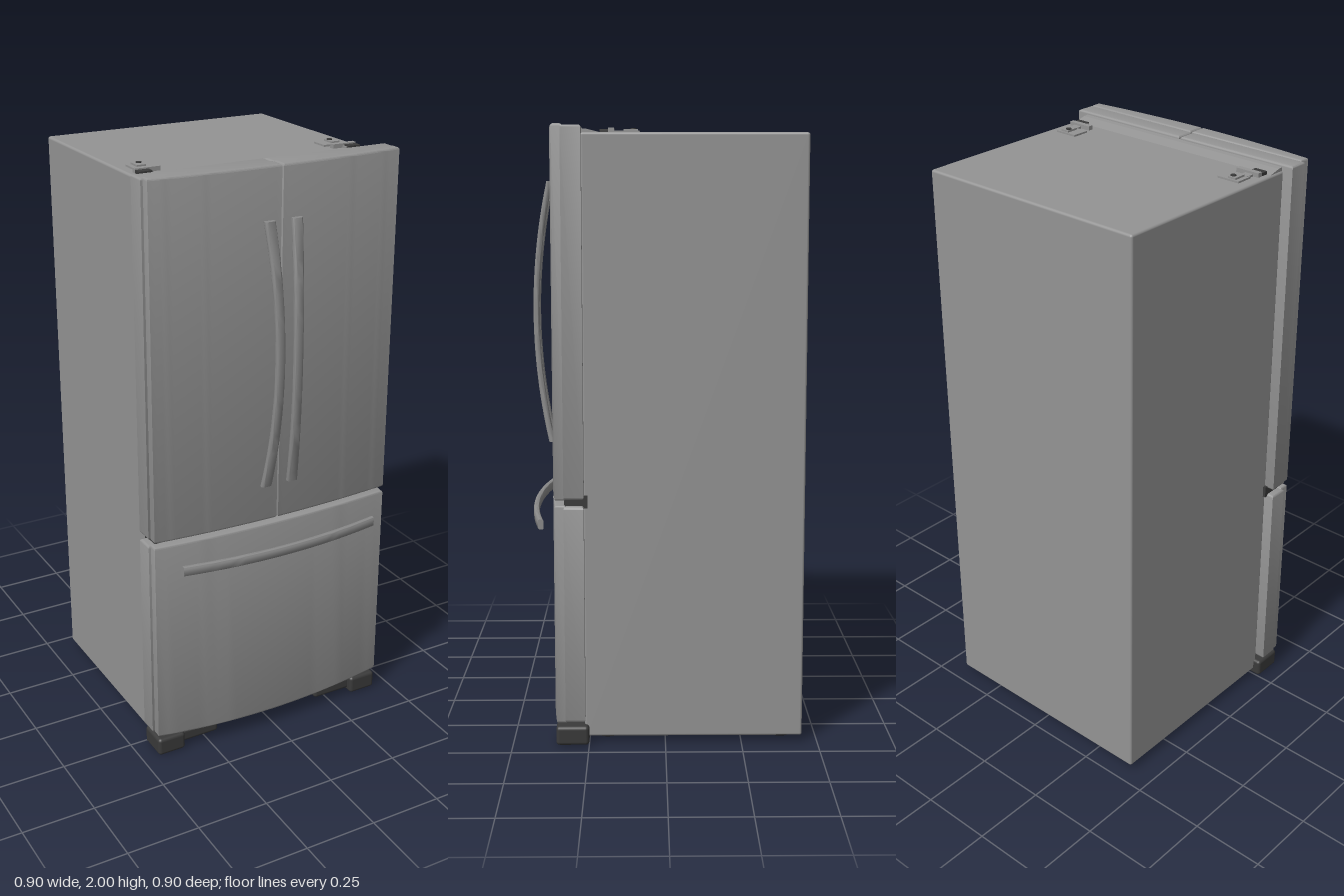
import * as THREE from 'three';
import { toCreasedNormals } from 'three/addons/utils/BufferGeometryUtils.js';
import { RoundedBoxGeometry } from 'three/addons/geometries/RoundedBoxGeometry.js';

const steel = new THREE.MeshStandardMaterial({ color: 0x949494 });
steel.name = 'steelGrey';
const handleGrey = new THREE.MeshStandardMaterial({ color: 0x8a8a8a });
handleGrey.name = 'handleGrey';
const dark = new THREE.MeshStandardMaterial({ color: 0x3a3a3a });
dark.name = 'darkPlastic';
const black = new THREE.MeshStandardMaterial({ color: 0x151515 });
black.name = 'blackRubber';

const bow = x => 0.379 - 0.024 * (x / 0.44) ** 2; // curved front of the doors

export function createModel() {
  const model = new THREE.Group();
  model.name = 'refrigerator';

  const add = (name, geometry, material, parent = model) => {
    const mesh = new THREE.Mesh(geometry, material);
    mesh.name = name;
    parent.add(mesh);
    return mesh;
  };
  // box given by its minimum and maximum corners
  const box = (name, a, b, r, material, parent) => {
    const s = b.map((v, i) => v - a[i]);
    const g = r ? new RoundedBoxGeometry(...s, 3, r) : new THREE.BoxGeometry(...s);
    g.translate(...a.map((v, i) => (v + b[i]) / 2));
    return add(name, g, material, parent);
  };
  // plan outline (x, z) raised from y0 to y1 with rounded edges
  const slab = (points, y0, y1, bevel) => {
    const shape = new THREE.Shape(points.map(([x, z]) => new THREE.Vector2(x, -z)));
    const g = new THREE.ExtrudeGeometry(shape, {
      depth: y1 - y0 - 2 * bevel, bevelEnabled: true, bevelSize: bevel,
      bevelThickness: bevel, bevelOffset: -bevel, bevelSegments: 3,
    });
    g.rotateX(-Math.PI / 2);
    g.translate(0, y0 + bevel, 0);
    return g;
  };
  // door = straight liner behind a bowed outer panel
  const door = (name, x0, x1, y0, y1, sag = 0) => {
    const group = new THREE.Group();
    group.name = name;
    const rim = x => (Math.abs(x) > 0.4 ? x + 0.008 * Math.sign(x) : x);
    const liner = slab([[rim(x0), 0.262], [rim(x1), 0.262], [rim(x1), 0.326], [rim(x0), 0.326]], y0 + 0.004, y1 - 0.004, 0.007);
    const front = [[x0, 0.32], [x1, 0.32]];
    for (let i = 0; i <= 24; i++) {
      const x = x1 + (x0 - x1) * i / 24;
      front.push([x, bow(x)]);
    }
    const panel = slab(front, y0, y1, 0.007);
    // lower edge dips towards the middle
    const p = panel.attributes.position;
    for (let i = 0; i < p.count; i++) {
      if (sag && p.getY(i) < y0 + 0.02) p.setY(i, p.getY(i) - sag * (1 - (p.getX(i) / 0.44) ** 2));
    }
    add(name + 'Liner', toCreasedNormals(liner, 0.6), steel, group);
    add(name + 'Panel', toCreasedNormals(panel, 0.6), steel, group);
    model.add(group);
  };
  // rounded bar along z, bent by a rule of t in -1..1
  const bar = (w, h, length, bend) => {
    const r = 0.007, a = w / 2 - r, b = h / 2 - r;
    const s = new THREE.Shape();
    s.absarc(a, b, r, 0, Math.PI / 2);
    s.absarc(-a, b, r, Math.PI / 2, Math.PI);
    s.absarc(-a, -b, r, Math.PI, Math.PI * 1.5);
    s.absarc(a, -b, r, Math.PI * 1.5, Math.PI * 2);
    const g = new THREE.ExtrudeGeometry(s, { depth: length, steps: 28, bevelEnabled: false, curveSegments: 4 });
    g.translate(0, 0, -length / 2);
    const p = g.attributes.position, v = new THREE.Vector3();
    for (let i = 0; i < p.count; i++) {
      v.fromBufferAttribute(p, i);
      bend(v, v.z / (length / 2));
      p.setXYZ(i, v.x, v.y, v.z);
    }
    return toCreasedNormals(g, 0.7);
  };

  // cabinet and its raised front lip
  box('cabinet', [-0.415, 0.022, -0.45], [0.415, 1.975, 0.265], 0.008, steel);
  const lip = new THREE.Shape();
  lip.moveTo(-0.268, 1.96).lineTo(-0.268, 1.987).lineTo(-0.245, 1.985).lineTo(-0.2, 1.974).lineTo(-0.2, 1.96);
  const lipGeo = new THREE.ExtrudeGeometry(lip, { depth: 0.82, bevelEnabled: false });
  lipGeo.rotateY(Math.PI / 2).translate(-0.41, 0, 0);
  add('frontLip', lipGeo, steel);

  // doors, drawer and the seals showing in their gaps
  door('leftDoor', 0.003, 0.442, 0.818, 2);
  door('rightDoor', -0.442, -0.003, 0.818, 2);
  door('freezerDrawer', -0.442, 0.442, 0.078, 0.802, 0.018);
  box('centreSeal', [-0.006, 0.83, 0.262], [0.006, 1.985, 0.35], 0, dark);
  box('middleSeal', [-0.425, 0.79, 0.25], [0.425, 0.83, 0.325], 0, dark);

  for (const s of [1, -1]) {
    const side = s > 0 ? 'left' : 'right';

    // bowed vertical handle
    const handle = bar(0.032, 0.02, 0.885, (v, t) => {
      const x = v.x * (0.95 + 0.2 * t * t), y = v.z, z = v.y;
      v.set(x + s * (0.033 + 0.016 * t * t), y + 1.39, 0.435 - 0.05 * t * t - z);
    });
    add(side + 'DoorHandle', handle, handleGrey);

    // top hinge with cover, arm and pin
    const hinge = new THREE.Group();
    hinge.name = side + 'TopHinge';
    const part = (name, x0, x1, y1, z0, z1, m) =>
      box(name, [Math.min(s * x0, s * x1), 1.97, z0], [Math.max(s * x0, s * x1), y1, z1], 0, m, hinge);
    part('hingePlate', 0.3, 0.38, 1.981, 0.08, 0.14, steel);
    part('hingeBlock', 0.335, 0.365, 1.987, 0.085, 0.13, steel);
    part('hingeArm', 0.31, 0.395, 1.989, 0.16, 0.178, steel);
    part('hingeLink', 0.345, 0.375, 1.982, 0.13, 0.2, steel);
    part('hingeFoot', 0.35, 0.395, 1.985, 0.178, 0.205, dark);
    model.add(hinge);
    const pin = add('hingePin', new THREE.CylinderGeometry(0.009, 0.009, 0.02, 16), dark, hinge);
    pin.position.set(s * 0.345, 1.98, 0.1);

    // front foot: wide outer block with a lower inner step
    const foot = (name, x0, x1, y0, y1, z1) =>
      box(name, [Math.min(s * x0, s * x1), y0, 0.25], [Math.max(s * x0, s * x1), y1, z1], 0.012, dark);
    foot(side + 'FrontFoot', 0.34, 0.442, 0, 0.064, 0.358);
    foot(side + 'FrontFootStep', 0.2, 0.35, 0.01, 0.056, 0.335);

    // round pads underneath
    for (const z of [0.19, -0.38]) {
      const pad = add('footPad', new THREE.CylinderGeometry(0.042, 0.042, 0.014, 32), black);
      pad.position.set(s * 0.345, 0.018, z);
    }
  }

  // base strip between the front feet
  box('baseStrip', [-0.21, 0.025, 0.25], [0.21, 0.058, 0.32], 0.006, dark);

  // bowed horizontal drawer handle
  const drawerHandle = bar(0.034, 0.019, 0.736, (v, t) => {
    const y = v.x, z = v.y, x = v.z;
    v.set(x, y + 0.725, 0.44 + z - 0.035 * t * t);
  });
  add('drawerHandle', drawerHandle, handleGrey);

  return model;
}
